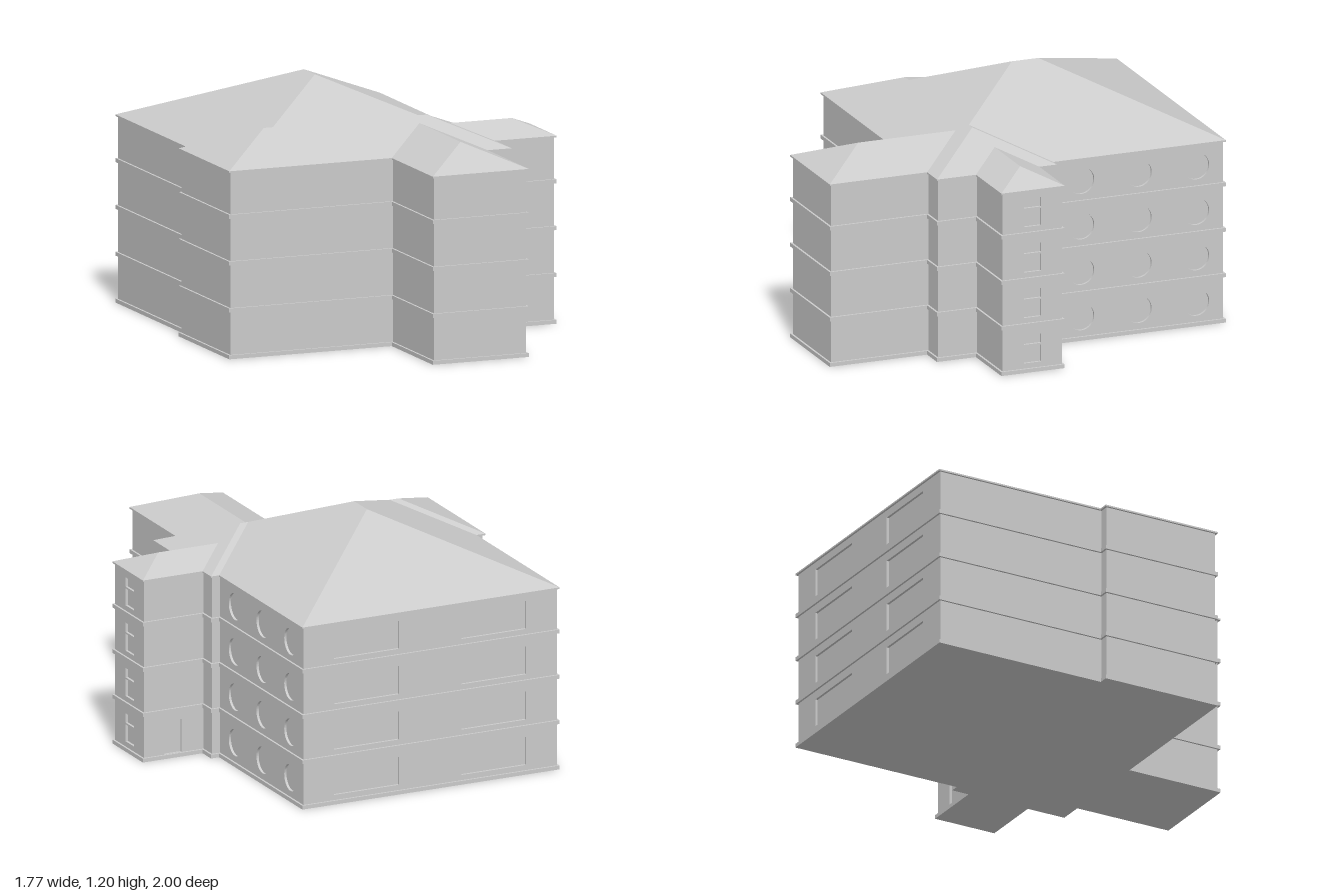
import * as THREE from 'three';

const EAVE = 0.91, SLOPE = 0.425, STOREY = 0.2267, INSET = 0.01, RECESS = 0.012;

export function createModel() {
  const group = new THREE.Group();
  const mat = new THREE.MeshStandardMaterial({ color: 0xcccccc, flatShading: true });
  const add = (name, geo) => {
    const mesh = new THREE.Mesh(geo, mat);
    mesh.name = name;
    group.add(mesh);
    return mesh;
  };

  // Eave rectangles [x0, x1, z0, z1] of the four overlapping blocks
  const main = [-0.84, 0.525, -1, 0.5];
  const cross = [-0.888, 0.568, -0.115, 0.5];
  const front = [-0.05, 0.445, 0.25, 1];
  const side = [0.4, 0.885, -0.025, 0.3];

  // Wall bodies; the sides that carry recessed openings are cut back for a facing panel
  const walls = (name, [x0, x1, z0, z1], cutRight = 0, cutBack = 0) => {
    const a = x0 + INSET, b = x1 - INSET - cutRight, c = z0 + INSET + cutBack, d = z1 - INSET;
    const h = EAVE - 0.015;
    add(name, new THREE.BoxGeometry(b - a, h, d - c))
      .position.set((a + b) / 2, 0.01 + h / 2, (c + d) / 2);
  };
  walls('mainWalls', main, RECESS, RECESS);
  walls('crossWingWalls', cross);
  walls('frontWingWalls', front);
  walls('sideWingWalls', side, RECESS, RECESS);

  // Floor bands follow the joint outline of all blocks
  const outline = new THREE.Shape([
    [-0.84, -1], [0.525, -1], [0.525, -0.115], [0.568, -0.115], [0.568, -0.025], [0.885, -0.025],
    [0.885, 0.3], [0.568, 0.3], [0.568, 0.5], [0.445, 0.5], [0.445, 1], [-0.05, 1], [-0.05, 0.5],
    [-0.888, 0.5], [-0.888, -0.115], [-0.84, -0.115],
  ].map(([x, z]) => new THREE.Vector2(x, -z)));
  const band = (name, y, h) => {
    const geo = new THREE.ExtrudeGeometry(outline, { depth: h, bevelEnabled: false });
    add(name, geo.rotateX(-Math.PI / 2)).position.y = y;
  };
  for (let i = 0; i < 4; i++) band('floorBand' + i, i * STOREY, 0.019);
  band('eaveBand', EAVE - 0.008, 0.008);

  // Hipped roofs: each side joins an eave edge to the ridge from r0 to r1
  const roof = (name, [x0, x1, z0, z1], alongX, r0, r1) => {
    const rise = SLOPE * (alongX ? z1 - z0 : x1 - x0) / 2;
    const c = [[x0, z0], [x1, z0], [x1, z1], [x0, z1]].map(([x, z]) => new THREE.Vector3(x, EAVE, z));
    const mid = alongX ? (z0 + z1) / 2 : (x0 + x1) / 2;
    const [a, b] = [r0, r1].map((r) => alongX
      ? new THREE.Vector3(r, EAVE + rise, mid) : new THREE.Vector3(mid, EAVE + rise, r));
    const p = alongX ? [a, b, b, a] : [a, a, b, b];
    const pts = [];
    for (let i = 0; i < 4; i++) {
      const j = (i + 1) % 4;
      pts.push(c[j], c[i], p[i]);
      if (p[i] !== p[j]) pts.push(c[j], p[i], p[j]);
    }
    const geo = new THREE.BufferGeometry().setFromPoints(pts);
    geo.computeVertexNormals();
    add(name, geo);
  };
  roof('mainRoof', main, false, -0.3175, -0.1825);
  roof('crossWingRoof', cross, true, -0.58, 0.26);
  roof('frontWingRoof', front, false, 0.25, 0.7525);
  roof('sideWingRoof', side, true, 0.4, 0.7225);

  // Facing panels with holes, which leave shallow window and door recesses
  const rect = (u0, u1, y0, y1) => new THREE.Path([
    new THREE.Vector2(u0, y0), new THREE.Vector2(u0, y1),
    new THREE.Vector2(u1, y1), new THREE.Vector2(u1, y0)]);
  const circle = (u, y, r) => new THREE.Path().absarc(u, y, r, 0, Math.PI * 2, true);
  const panel = (name, u0, u1, holes, turn, x, z) => {
    const shape = new THREE.Shape([[u0, 0.01], [u1, 0.01], [u1, EAVE - 0.005], [u0, EAVE - 0.005]]
      .map(([u, y]) => new THREE.Vector2(u, y)));
    shape.holes.push(...holes);
    const mesh = add(name, new THREE.ExtrudeGeometry(shape,
      { depth: RECESS, bevelEnabled: false, curveSegments: 24 }));
    mesh.rotation.y = turn;
    mesh.position.set(x, 0, z);
  };

  const backHoles = [], roundHoles = [], endHoles = [];
  for (let i = 0; i < 4; i++) {
    const y = i * STOREY;
    // wide windows, two to each floor
    for (const x of [-0.495, 0.18]) backHoles.push(rect(-x - 0.172, -x + 0.172, y + 0.045, y + 0.185));
    // round windows, three to each floor
    for (const z of [-0.8525, -0.5575, -0.2625]) roundHoles.push(circle(-z, y + 0.115, 0.066));
    // narrow windows with a transom bar
    endHoles.push(rect(-0.18, -0.092, y + 0.045, y + 0.13), rect(-0.18, -0.092, y + 0.138, y + 0.185));
  }
  const cut = INSET + RECESS;
  panel('backFacade', -0.525 + INSET, 0.84 - INSET, backHoles, Math.PI, 0, -1 + cut);
  panel('rightFacade', 0.1, 1 - cut, roundHoles, Math.PI / 2, 0.525 - cut, 0);
  panel('sideWingEnd', -0.3 + INSET, 0.025 - INSET, endHoles, Math.PI / 2, 0.885 - cut, 0);
  // back of the side wing with its ground floor door
  panel('sideWingBack', -0.885 + cut, -0.5, [rect(-0.765, -0.675, 0.02, 0.185)], Math.PI, 0, -0.025 + cut);

  return group;
}
